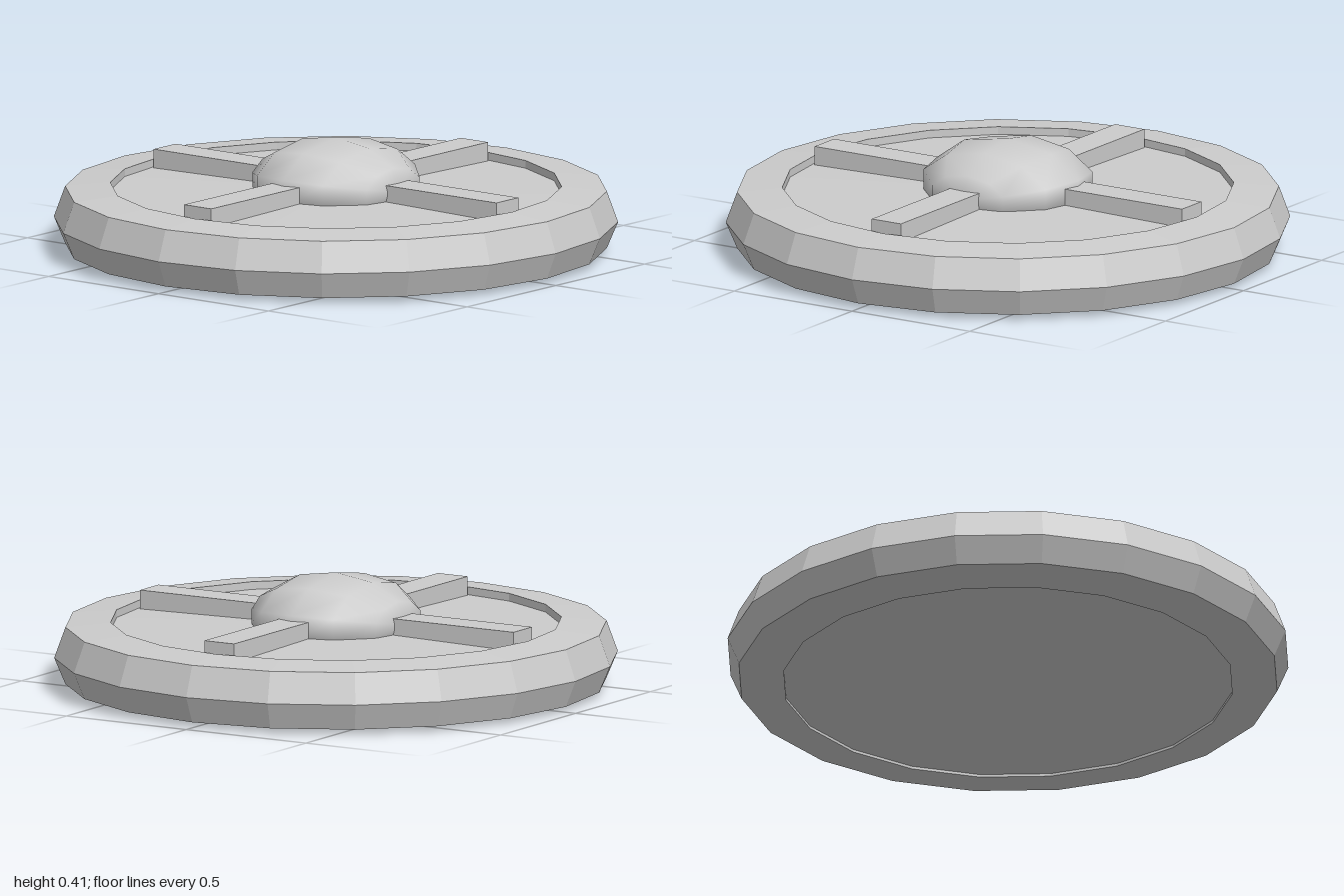
import * as THREE from 'three';

const SIDES = 20;

function lathe(points, material, name) {
  const geometry = new THREE.LatheGeometry(points.map(([r, y]) => new THREE.Vector2(r, y)), SIDES);
  const mesh = new THREE.Mesh(geometry, material);
  mesh.name = name;
  return mesh;
}

export function createModel() {
  const group = new THREE.Group();
  group.name = 'roundShield';

  const metal = new THREE.MeshStandardMaterial({ color: 0xcccccc, flatShading: true });
  metal.name = 'light grey';
  const smoothMetal = new THREE.MeshStandardMaterial({ color: 0xcccccc });
  smoothMetal.name = 'smooth light grey';

  // Faceted rim: closed ring section, outside upward then back down the inside
  group.add(lathe(
    [[0.8, 0], [0.96, 0.02], [1, 0.115], [0.96, 0.225], [0.8, 0.24], [0.8, 0]],
    metal, 'rim'));

  // Recessed plate, very slightly raised toward the middle
  group.add(lathe([[0, 0.01], [0.8, 0.01], [0.8, 0.212], [0, 0.226]], metal, 'plate'));

  // Two crossing straps
  for (const [name, w, d] of [['sideStrap', 1.56, 0.124], ['lengthStrap', 0.124, 1.56]]) {
    const strap = new THREE.Mesh(new THREE.BoxGeometry(w, 0.1, d), metal);
    strap.name = name;
    strap.position.y = 0.23;
    group.add(strap);
  }

  // Flattened boss, a coarse smooth sphere with its poles along z
  const bossGeometry = new THREE.SphereGeometry(1, 10, 6);
  bossGeometry.rotateY(Math.PI / 2);
  bossGeometry.rotateX(-Math.PI / 2);
  bossGeometry.scale(0.315, 0.16, 0.3);
  const boss = new THREE.Mesh(bossGeometry, smoothMetal);
  boss.name = 'boss';
  boss.position.y = 0.25;
  group.add(boss);

  return group;
}
